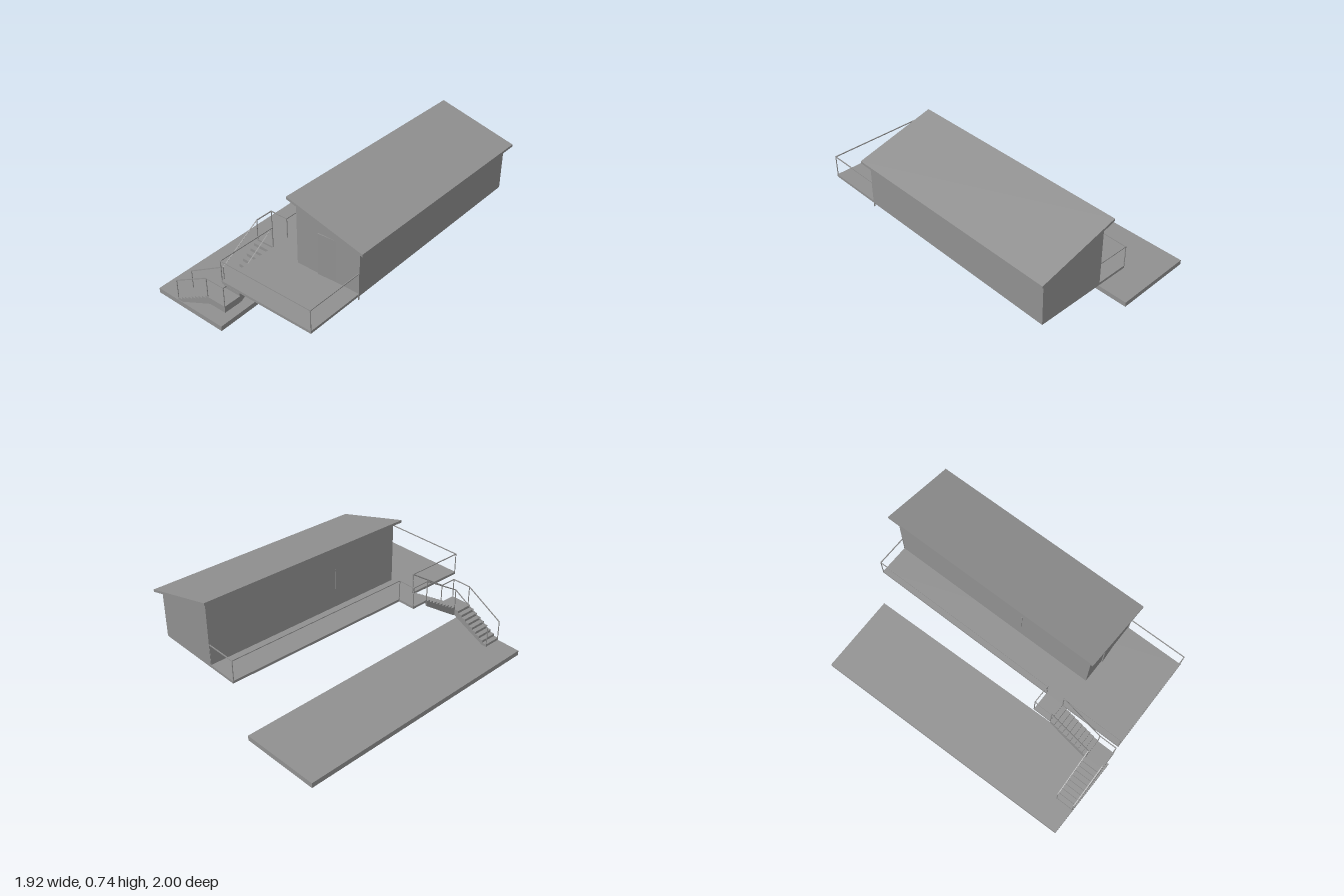
import * as THREE from 'three';

const grey = new THREE.MeshStandardMaterial({ color: 0x909090, flatShading: true });

function add(parent, name, geometry) {
  const mesh = new THREE.Mesh(geometry, grey);
  mesh.name = name;
  parent.add(mesh);
  return mesh;
}

// Box given by its limits on each axis
function slab(parent, name, x0, x1, y0, y1, z0, z1) {
  const g = new THREE.BoxGeometry(x1 - x0, y1 - y0, z1 - z0);
  g.translate((x0 + x1) / 2, (y0 + y1) / 2, (z0 + z1) / 2);
  return add(parent, name, g);
}

// Extrusion of an (a, y) outline: a runs along x, depth from z0 to z1
function extrudeAlongZ(points, z0, z1) {
  const shape = new THREE.Shape(points.map(p => new THREE.Vector2(p[0], p[1])));
  return new THREE.ExtrudeGeometry(shape, { depth: z1 - z0, bevelEnabled: false }).translate(0, 0, z0);
}

// Extrusion of a (z, y) outline between x0 and x1
function extrudeAlongX(points, x0, x1) {
  return extrudeAlongZ(points, -x1, -x0).rotateY(-Math.PI / 2);
}

// Stair flight: folded step plate between two saw-tooth stringers
function flight(parent, name, extrude, [a0, y0], [a1, y1], startDrop, endDrop, foot, w0, w1) {
  const steps = 9, t = 0.006, stringer = 0.006;
  const run = (a1 - a0) / steps, rise = (y1 - y0) / steps;
  const saw = [[a0, y0]], under = [[a0 + t, y0]];
  for (let i = 0; i < steps; i++) {
    const y = y0 + (i + 1) * rise, a = a0 + (i + 1) * run;
    saw.push([a - run, y], [a, y]);
    under.push([a - run + t, y - t], [i < steps - 1 ? a + t : a, y - t]);
  }
  const group = new THREE.Group();
  group.name = name;
  add(group, 'steps', extrude([...saw, ...under.reverse()], w0 + stringer, w1 - stringer));
  const side = [[a0, y0 - startDrop], ...saw.slice(1), [a1, y1 - endDrop], [a0 + foot, y0 - startDrop]];
  add(group, 'stringer', extrude(side, w0, w0 + stringer));
  add(group, 'stringer', extrude(side, w1 - stringer, w1));
  parent.add(group);
}

// Thin square bar between two points
function bar(parent, name, a, b, t) {
  const dir = b.clone().sub(a);
  const mesh = add(parent, name, new THREE.BoxGeometry(t, t, dir.length() + t * 0.8));
  mesh.position.copy(a).lerp(b, 0.5);
  mesh.quaternion.setFromUnitVectors(new THREE.Vector3(0, 0, 1), dir.normalize());
}

// Handrail through [x, topY, z, baseY] points, with a post under each
function railing(parent, name, pts) {
  const group = new THREE.Group();
  group.name = name;
  pts.forEach(([x, y, z, base], i) => {
    const top = new THREE.Vector3(x, y, z);
    bar(group, 'post', new THREE.Vector3(x, base, z), top, 0.004);
    if (i > 0) {
      const [px, py, pz] = pts[i - 1];
      bar(group, 'handrail', new THREE.Vector3(px, py, pz), top, 0.005);
    }
  });
  parent.add(group);
}

export function createModel() {
  const model = new THREE.Group();
  model.name = 'raisedHouse';

  // Ground slab, a slightly irregular four-sided plan
  const plan = [[-0.965, -0.34], [-0.57, -0.635], [0.367, 0.72], [-0.036, 1]];
  add(model, 'groundSlab', extrudeAlongZ(plan, 0, 0.03).rotateX(-Math.PI / 2));

  // House frame: x along the ridge, z towards the low eave
  const house = new THREE.Group();
  house.name = 'house';
  house.rotation.y = THREE.MathUtils.degToRad(54);
  model.add(house);

  // Deck with the small landing at the head of the stairs
  slab(house, 'deck', -0.845, 0.815, 0.33, 0.345, -0.056, 0.533);
  slab(house, 'upperLanding', -0.473, -0.363, 0.33, 0.345, -0.169, -0.056);

  // Walls under a single-pitch roof
  add(house, 'walls', extrudeAlongX(
    [[0.133, 0.332], [0.535, 0.332], [0.535, 0.614], [0.133, 0.722]], -0.49, 0.816));
  add(house, 'roof', extrudeAlongX(
    [[0.095, 0.728], [0.572, 0.602], [0.572, 0.616], [0.095, 0.743]], -0.519, 0.845));

  // End door standing slightly ajar, window edge and corner post
  const door = slab(house, 'endDoor', -0.003, 0.003, 0.345, 0.593, 0, 0.13);
  door.position.set(-0.494, 0, 0.275);
  door.rotation.y = 0.06;
  slab(house, 'windowEdge', -0.043, -0.038, 0.46, 0.585, 0.13, 0.134);
  slab(house, 'cornerPost', -0.494, -0.489, 0.31, 0.467, 0.53, 0.535);

  // Stairs: lower flight, half landing, upper flight
  flight(house, 'lowerFlight', extrudeAlongX, [-0.425, 0.03], [-0.169, 0.175], 0, 0.04, 0.03, -0.841, -0.731);
  slab(house, 'halfLanding', -0.841, -0.731, 0.136, 0.175, -0.169, -0.056);
  flight(house, 'upperFlight', extrudeAlongZ, [-0.731, 0.175], [-0.473, 0.335], 0.037, 0.03, 0.01, -0.169, -0.056);

  // Railings: terrace, rear walkway and stairs
  const top = 0.467, mid = 0.295, floor = 0.34;
  railing(house, 'terraceRailing', [
    [-0.473, top, -0.056, floor], [-0.842, top, -0.056, floor],
    [-0.842, top, 0.53, floor], [-0.49, top, 0.53, floor]]);
  railing(house, 'walkwayRailing', [
    [0.812, top, 0.133, floor], [0.812, top, -0.056, floor], [-0.363, top, -0.056, floor],
    [-0.363, top, -0.167, floor], [-0.473, top, -0.167, floor],
    [-0.731, 0.31, -0.167, 0.17], [-0.733, 0.16, -0.425, 0.03]]);
  railing(house, 'outerStairRailing', [
    [-0.473, top, -0.058, floor], [-0.731, mid, -0.058, 0.17], [-0.839, mid, -0.058, 0.17],
    [-0.839, mid, -0.182, 0.16], [-0.839, 0.16, -0.425, 0.03]]);

  return model;
}
